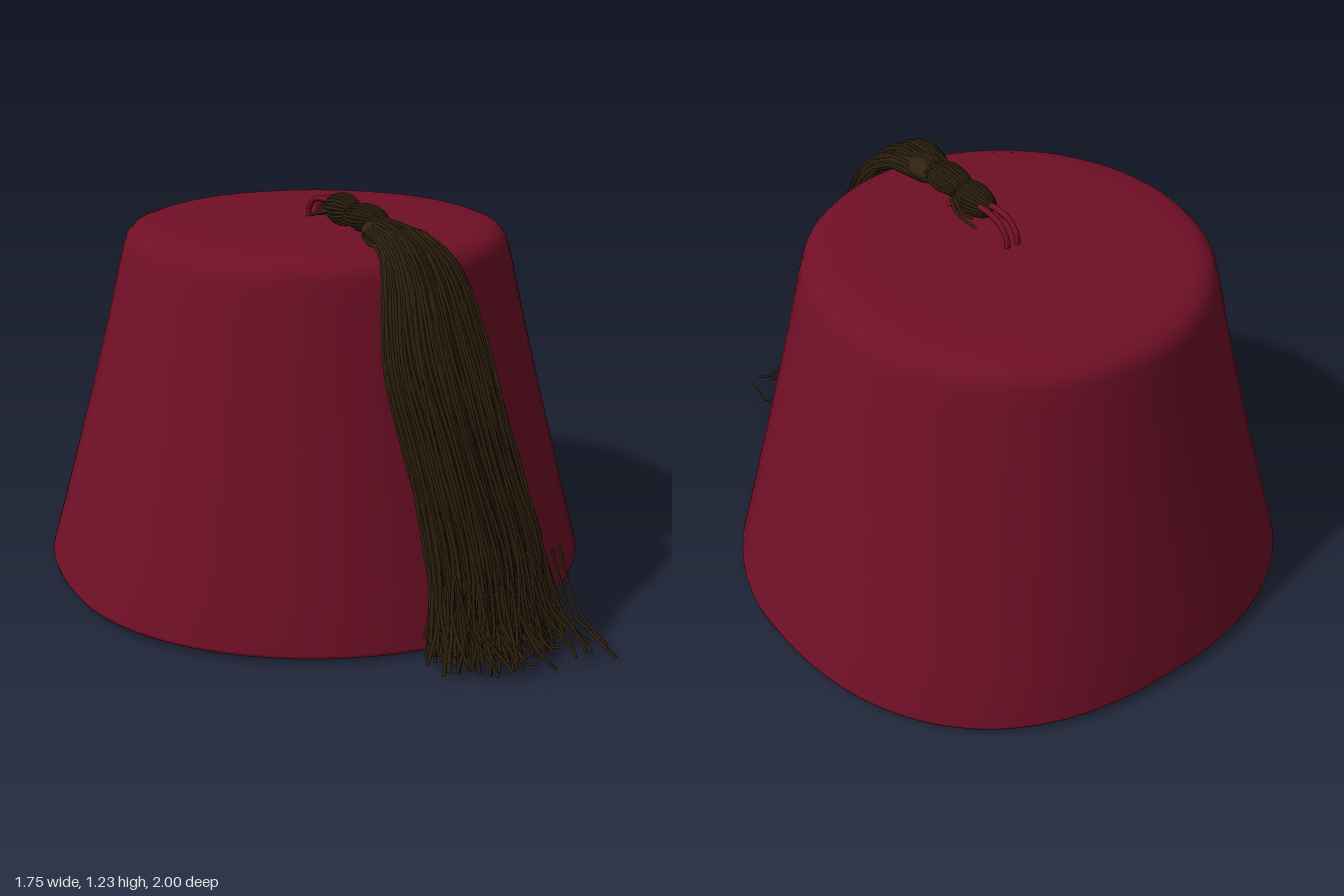
import * as THREE from 'three';
import { mergeGeometries } from 'three/addons/utils/BufferGeometryUtils.js';

const felt = new THREE.MeshStandardMaterial({ color: 0x700f26 });
felt.name = 'crimson felt';
const thread = new THREE.MeshStandardMaterial({ color: 0x2f220f });
thread.name = 'dark brown thread';

const lerp = THREE.MathUtils.lerp;
let seed = 7;
const rand = () => {
  seed = (seed * 16807) % 2147483647;
  return seed / 2147483647;
};
const jitter = (amount) => (rand() * 2 - 1) * amount;
const vec = (x, y, z) => new THREE.Vector3(x, y, z);

// Egg-shaped, slightly boxy-backed ring that turns into a circle as t goes 0 -> 1
function hatPoint(t, scale, inset, y, angle) {
  const c = Math.cos(angle), s = Math.sin(angle);
  const front = s > 0;
  const n = front ? lerp(1.88, 2, t) : lerp(2.4, 2, t);
  const power = (v) => Math.sign(v) * Math.pow(Math.abs(v), 2 / n);
  const a = (lerp(0.873, 0.607, t) - inset) * scale;
  const b = ((front ? lerp(0.8, 0.62, t) : lerp(0.9, 0.62, t)) - inset) * scale;
  return [power(c) * a, y + 0.006 * (1 - t) * -s, lerp(-0.1, -0.165, t) + power(s) * b];
}

// Felt body: one skin running up the inside, round the brim and over the crown
function hatGeometry() {
  const rings = [ // t, scale, inset, y
    [1, 0.001, 0.02, 1.105], [1, 0.9, 0.02, 1.09], [1, 1, 0.02, 1.04],
    [0.56, 1, 0.02, 0.6], [0.18, 1, 0.02, 0.2], [0, 1, 0.022, 0.035],
    [0, 1, 0.012, 0.022], [0, 1, 0.003, 0.024], [0, 1, 0, 0.036],
    [0.17, 1, 0, 0.2], [0.37, 1, 0, 0.4], [0.57, 1, 0, 0.6], [0.78, 1, 0, 0.82],
    [0.95, 1, 0, 1.01], [1, 1, 0, 1.06], [1, 0.985, 0, 1.085], [1, 0.95, 0, 1.107],
    [1, 0.89, 0, 1.12], [1, 0.7, 0, 1.127], [1, 0.35, 0, 1.131], [1, 0.001, 0, 1.132],
  ];
  const sides = 72, positions = [], index = [];
  rings.forEach(([t, scale, inset, y], r) => {
    for (let i = 0; i < sides; i++) {
      positions.push(...hatPoint(t, scale, inset, y, (i / sides) * Math.PI * 2));
      if (r === rings.length - 1) continue;
      const j = (i + 1) % sides;
      const a = r * sides + i, b = r * sides + j;
      index.push(a, a + sides, b, b, a + sides, b + sides);
    }
  });
  const geometry = new THREE.BufferGeometry();
  geometry.setAttribute('position', new THREE.Float32BufferAttribute(positions, 3));
  geometry.setIndex(index);
  geometry.computeVertexNormals();
  return geometry;
}

function tube(points, radius, segments = 20, sides = 4) {
  return new THREE.TubeGeometry(new THREE.CatmullRomCurve3(points), segments, radius, sides);
}

// Long threads draped over the crown edge and down the front
function skirtGeometry() {
  const stations = [ // outer z, outer y, inner z, inner y, centre x, half width
    [0.2, 1.2, 0.2, 1.16, -0.015, 0.03],
    [0.28, 1.2, 0.27, 1.14, -0.03, 0.06],
    [0.42, 1.185, 0.4, 1.135, -0.035, 0.09],
    [0.53, 1.1, 0.465, 1.08, -0.03, 0.125],
    [0.65, 0.88, 0.54, 0.85, -0.03, 0.165],
    [0.76, 0.6, 0.6, 0.6, 0, 0.165],
    [0.84, 0.33, 0.66, 0.33, 0.045, 0.175],
    [0.88, 0.15, 0.7, 0.15, 0.05, 0.195],
    [0.92, 0.045, 0.73, 0.045, 0.055, 0.225],
  ];
  const strands = [];
  for (let k = 0; k < 330; k++) {
    const s = rand() * 2 - 1;
    const depth = rand() * Math.sqrt(1 - s * s * 0.85);
    const points = stations.map(([oz, oy, iz, iy, cx, w], i) => {
      const loose = 0.002 + 0.0016 * i;
      const end = i === 8 ? 1 : 0;
      return vec(
        cx + s * w + jitter(loose) + end * jitter(0.03),
        lerp(iy, oy, depth) + end * jitter(0.035),
        lerp(iz, oz, depth) + Math.abs(jitter(loose)) + end * jitter(0.035));
    });
    strands.push(tube(points, 0.006, 22));
  }
  // A few stray curled ends
  for (let k = 0; k < 14; k++) {
    const x = lerp(-0.12, 0.25, k / 13);
    const z = 0.9 + rand() * 0.09;
    strands.push(tube([
      vec(x, 0.3, 0.8), vec(x + 0.02, 0.14, 0.86),
      vec(x + 0.04 + jitter(0.02), 0.06, z - 0.03), vec(x + 0.05, 0.03 + rand() * 0.03, z),
    ], 0.005, 12));
  }
  // One curl reaching furthest out, to the left
  strands.push(tube([
    vec(0.24, 0.25, 0.75), vec(0.29, 0.1, 0.78), vec(0.335, 0.03, 0.85), vec(0.32, 0.007, 0.995),
  ], 0.005, 16));
  return mergeGeometries(strands);
}

// Bound swellings, wound lengthwise with thread
function knotGeometry() {
  const profile = [
    [0.018, -0.07], [0.033, -0.05], [0.044, -0.01], [0.046, 0.02], [0.036, 0.05], [0.02, 0.072],
  ].map(([r, y]) => new THREE.Vector2(r, y));
  const curve = new THREE.SplineCurve(profile).getPoints(14);
  const core = new THREE.LatheGeometry(curve, 28).toNonIndexed();
  const parts = [core];
  for (let i = 0; i < 22; i++) {
    const start = (i / 22) * Math.PI * 2;
    const path = profile.map((p, j) => {
      const a = start + j * 0.06;
      return vec(Math.cos(a) * p.x, p.y, Math.sin(a) * p.x);
    });
    parts.push(tube(path, 0.005, 10).toNonIndexed());
  }
  const geometry = mergeGeometries(parts);
  geometry.rotateX(Math.PI / 2);
  return geometry;
}

export function createModel() {
  const model = new THREE.Group();
  const add = (name, geometry, material, parent = model) => {
    const mesh = new THREE.Mesh(geometry, material);
    mesh.name = name;
    parent.add(mesh);
    return mesh;
  };

  add('hatBody', hatGeometry(), felt);

  // Cord loops sewn into the crown and tied into the tassel
  const cords = [-0.014, 0.022].map((x) => tube([
    vec(x, 1.11, -0.185), vec(x, 1.155, -0.185), vec(x, 1.19, -0.15),
    vec(x * 0.9, 1.2, -0.09), vec(x * 0.6, 1.19, 0),
  ], 0.009, 24, 8));
  cords.push(tube([
    vec(0.015, 1.125, 0.12), vec(0.02, 1.14, 0.08), vec(0.02, 1.15, 0.02), vec(0.01, 1.175, -0.04),
  ], 0.008, 16, 8));
  add('cordLoops', mergeGeometries(cords), felt);

  const tassel = new THREE.Group();
  tassel.name = 'tassel';
  model.add(tassel);

  const knot = knotGeometry();
  add('rearKnot', knot, thread, tassel).position.set(-0.008, 1.185, 0.01);
  const front = add('frontKnot', knot, thread, tassel);
  front.position.set(-0.016, 1.183, 0.155);
  front.scale.set(1.15, 0.85, 1.15);

  // Collar where the threads spread out of the front knot
  const collar = add('tasselCollar', new THREE.SphereGeometry(1, 24, 16), thread, tassel);
  collar.position.set(-0.025, 1.167, 0.28);
  collar.scale.set(0.065, 0.033, 0.08);

  // Cut ends of the binding thread
  const ends = [[-0.045, -0.12], [-0.04, -0.09], [0.068, -0.1], [0.05, -0.06], [-0.03, -0.07]]
    .map(([x, z], i) => tube([
      vec(x * 0.6, 1.18, 0.07), vec(x, 1.18 - 0.005 * i, 0.0), vec(x, 1.15 + 0.008 * i, z),
    ], 0.006, 10));
  add('bindingEnds', mergeGeometries(ends), thread, tassel);

  add('tasselThreads', skirtGeometry(), thread, tassel);
  return model;
}
